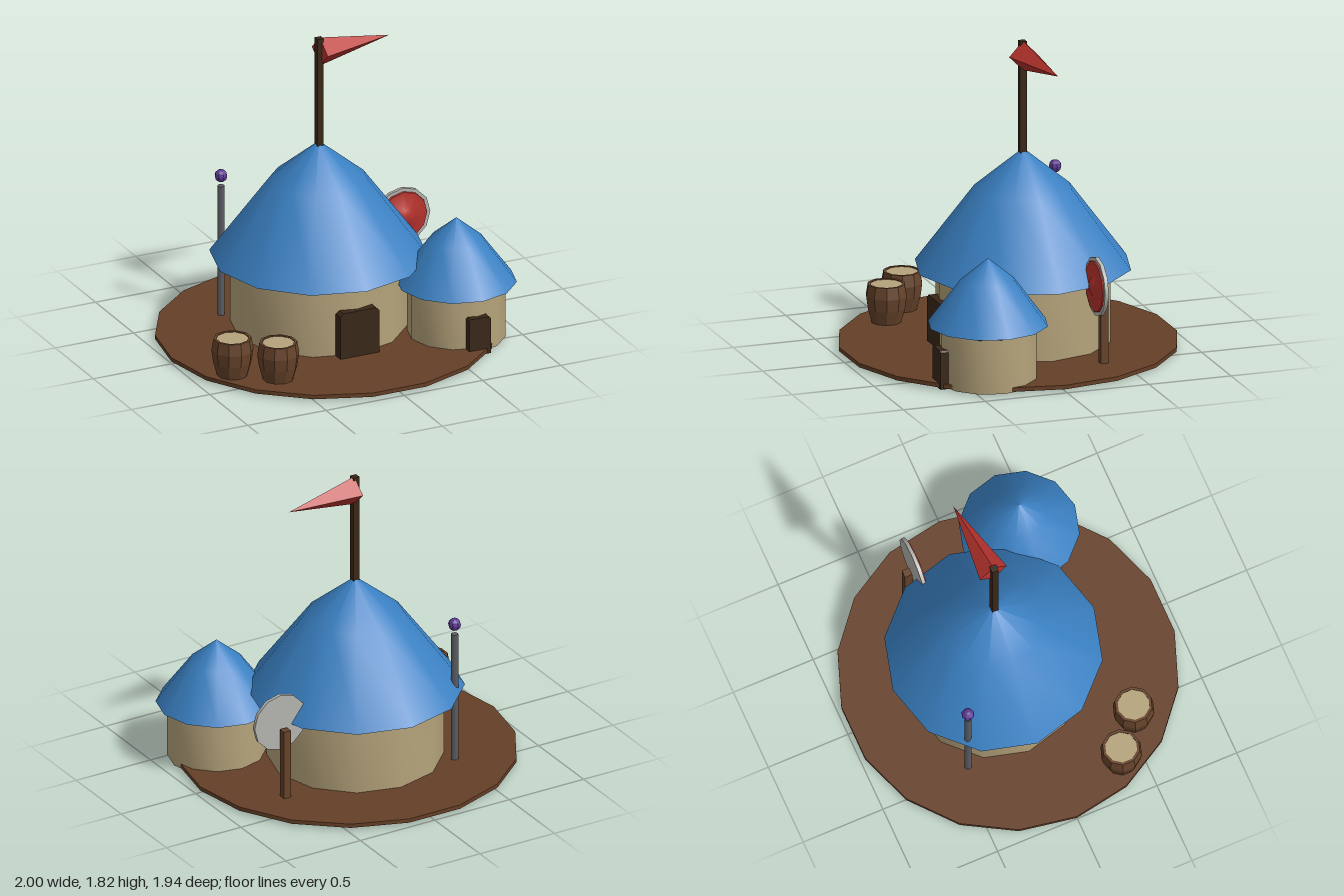
import * as THREE from 'three';
import { toCreasedNormals } from 'three/addons/utils/BufferGeometryUtils.js';

const BLUE = 0x3a80c2, WALL = 0xb5a37b, EARTH = 0x653f26, DARK = 0x3a2718,
  WOOD = 0x66432a, RED = 0xb8332d, IRON = 0x5b5d63, SILVER = 0xb4b4b0, PURPLE = 0x5d3a94;

function mesh(name, geometry, color, x = 0, y = 0, z = 0, flat = false) {
  const m = new THREE.Mesh(geometry, new THREE.MeshStandardMaterial({ color, flatShading: flat }));
  m.name = name;
  m.position.set(x, y, z);
  return m;
}

// Turned solid: profile of [radius, height] pairs, listed from the bottom up
function turned(profile, sides, start = 0) {
  const pts = profile.map(([r, y]) => new THREE.Vector2(r, y));
  return toCreasedNormals(new THREE.LatheGeometry(pts, sides, start), 0.7);
}

// Door slab with clipped top corners, standing on y = 0
function door(w, h, depth) {
  const c = w * 0.08, s = new THREE.Shape();
  s.moveTo(-w / 2, 0);
  s.lineTo(w / 2, 0);
  s.lineTo(w / 2, h - c);
  s.lineTo(w / 2 - c, h);
  s.lineTo(-w / 2 + c, h);
  s.lineTo(-w / 2, h - c);
  return new THREE.ExtrudeGeometry(s, { depth, bevelEnabled: false });
}

// Round hut: wall, two-pitch cone roof and a door on the front
function hut(name, o) {
  const g = new THREE.Group();
  g.name = name;
  g.position.set(o.x, 0, o.z);
  g.add(mesh('wall', turned([[0, 0], [o.wall, 0.009], [o.wall, o.eave]], 12), WALL));
  const rise = o.apex - o.eave;
  g.add(mesh('roof', turned([
    [0, o.eave - 0.024], [o.wall, o.eave - 0.02], [o.roof, o.eave],
    [o.roof * 0.45, o.eave + rise * 0.665], [0, o.apex],
  ], 12), BLUE));
  g.add(mesh('door', door(o.doorW, o.doorH, 0.07), DARK, o.doorX, 0.005, o.wall - 0.04, true));
  return g;
}

function barrel(x, z) {
  const g = new THREE.Group();
  g.name = 'barrel';
  g.position.set(x, 0.03, z);
  g.add(mesh('staves', turned([
    [0, 0], [0.087, 0], [0.112, 0.09], [0.122, 0.165], [0.11, 0.235], [0.094, 0.235], [0.094, 0.22],
  ], 10).deleteAttribute('normal'), WOOD, 0, 0, 0, true));
  g.children[0].geometry.computeVertexNormals();
  g.add(mesh('lid', new THREE.CylinderGeometry(0.095, 0.095, 0.02, 10), WALL, 0, 0.22, 0));
  return g;
}

export function createModel() {
  const model = new THREE.Group();
  model.name = 'hutCamp';

  // Ground disc, slightly lower in the middle of its underside
  model.add(mesh('ground', turned([[0, 0.003], [0.985, 0.013], [0.985, 0.037], [0, 0.037]], 18, Math.PI / 2),
    EARTH, -0.015, 0, -0.003));

  // Main hut and annex
  model.add(hut('mainHut', {
    x: -0.014, z: -0.094, wall: 0.51, roof: 0.631, eave: 0.473, apex: 1.174,
    doorW: 0.25, doorH: 0.313, doorX: 0.001,
  }));
  model.add(hut('annex', {
    x: 0.645, z: 0.356, wall: 0.284, roof: 0.35, eave: 0.352, apex: 0.745,
    doorW: 0.136, doorH: 0.23, doorX: 0,
  }));

  // Flagpole with a four-sided pennant
  model.add(mesh('flagpole', new THREE.BoxGeometry(0.04, 0.68, 0.04), DARK, -0.014, 1.477, -0.09));
  const flag = new THREE.Group();
  flag.name = 'flag';
  flag.position.set(-0.008, 1.73, -0.092);
  flag.rotation.y = 0.1;
  const cone = mesh('pennant', new THREE.ConeGeometry(0.088, 0.468, 4), RED, 0.234, 0, 0, true);
  cone.rotation.z = -Math.PI / 2;
  flag.add(cone);
  model.add(flag);

  // Barrels
  model.add(barrel(-0.79, 0.367), barrel(-0.58, 0.537));

  // Round shield on a post
  model.add(mesh('shieldPost', new THREE.BoxGeometry(0.046, 0.43, 0.046), WOOD, 0.615, 0.25, -0.36));
  const shield = new THREE.Group();
  shield.name = 'shield';
  shield.position.set(0.627, 0.502, -0.326);
  shield.rotation.x = Math.PI / 2;
  shield.add(mesh('rim', new THREE.CylinderGeometry(0.174, 0.174, 0.022, 12), SILVER, 0, 0.011, 0));
  shield.add(mesh('face', turned([[0.155, 0.018], [0.15, 0.03], [0.06, 0.034], [0.045, 0.046], [0, 0.05]], 12), RED));
  model.add(shield);

  // Iron post topped by an orb
  model.add(mesh('orbPost', new THREE.CylinderGeometry(0.022, 0.022, 0.81, 8), IRON, -0.465, 0.435, -0.452));
  model.add(mesh('orb', new THREE.SphereGeometry(0.038, 8, 6), PURPLE, -0.465, 0.902, -0.452, true));

  return model;
}
